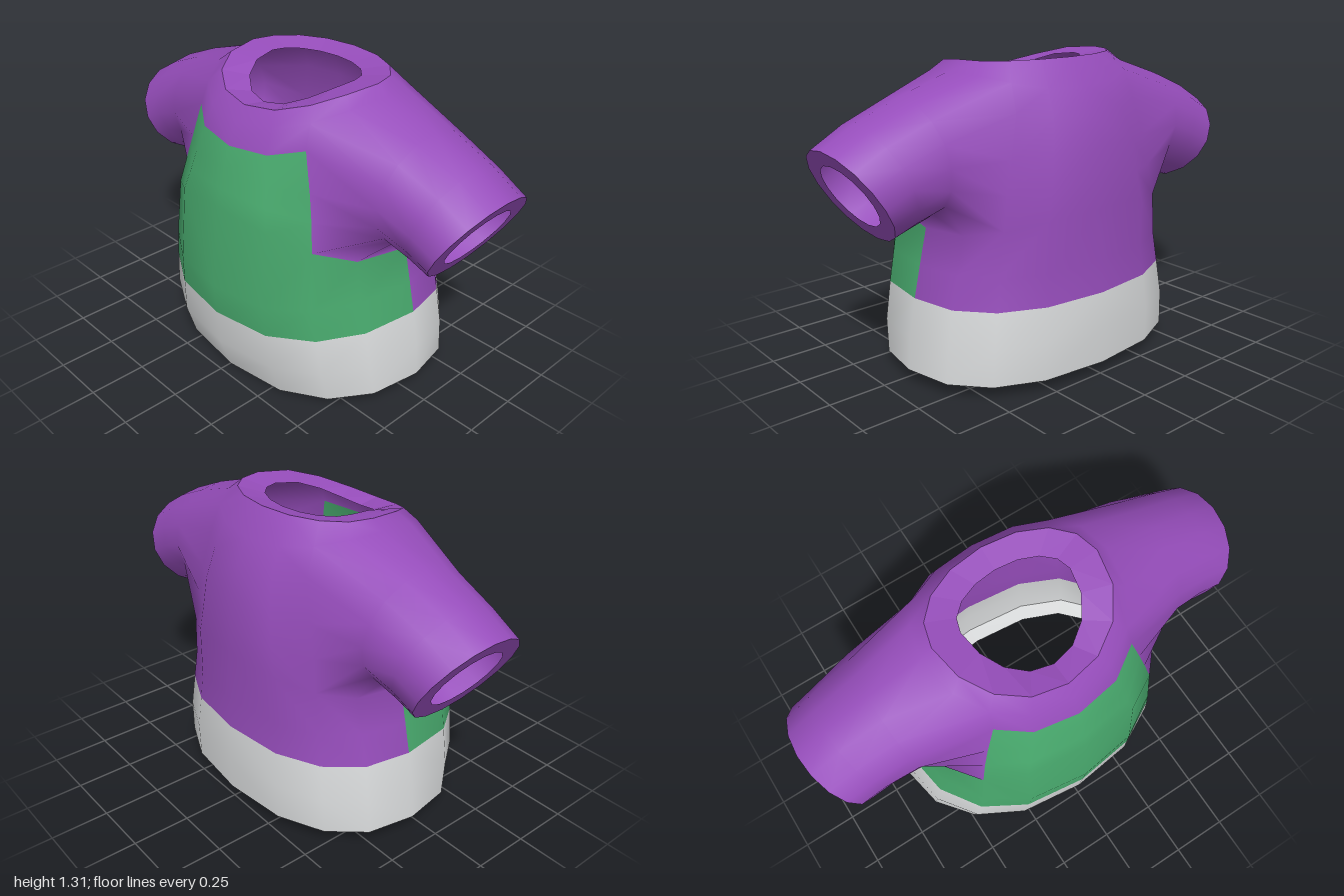
import * as THREE from 'three';
import { mergeVertices } from 'three/addons/utils/BufferGeometryUtils.js';

const COLS = 8;     // columns from front centre (0) to back centre (8) on one half
const Z0 = -0.05;   // depth of the side seam
const ARM = { row0: 4, row1: 8, col0: 2, col1: 6 };  // armhole in the body grid

// Body rows, hem to neck: half width, front z, back z,
// y at front, side, back, then roundness (1 is an ellipse, less is boxier)
const BODY = [
  [0.66, 0.445, 0.51, 0.00, 0.06, 0.055, 0.84],
  [0.65, 0.495, 0.515, 0.15, 0.20, 0.22, 0.84],
  [0.62, 0.505, 0.50, 0.31, 0.365, 0.365, 0.84],
  [0.59, 0.515, 0.49, 0.45, 0.50, 0.50, 0.84],
  [0.555, 0.475, 0.485, 0.81, 0.65, 0.72, 0.78],
  [0.53, 0.455, 0.478, 0.89, 0.80, 0.84, 0.84],
  [0.49, 0.43, 0.465, 0.97, 0.94, 0.97, 0.84],
  [0.43, 0.40, 0.43, 1.06, 1.16, 1.09, 0.84],
  [0.42, 0.36, 0.38, 1.15, 1.265, 1.20, 0.88],
  [0.37, 0.315, 0.30, 1.21, 1.305, 1.31, 0.95],
];
// Inner edges of the flat rims
const HEM_INNER = [0.59, 0.38, 0.44, 0.01, 0.045, 0.045, 0.84];
const NECK_INNER = [0.245, 0.215, 0.20, 1.195, 1.285, 1.285, 0.98];

// Sleeve rings: top x, top y, bottom x, bottom y, half depth
const SLEEVE = [
  [0.66, 1.19, 0.59, 0.72, 0.275],
  [0.86, 1.11, 0.69, 0.685, 0.255],
  [1.00, 1.03, 0.78, 0.655, 0.25],
];
const CUFF_INNER = [0.963, 0.967, 0.817, 0.718, 0.167];

function bodyRow([w, f, b, yf, ys, yb, e]) {
  const row = [];
  for (let j = 0; j <= COLS; j++) {
    const a = (j / COLS) * Math.PI;
    const c = j === COLS / 2 ? 0 : Math.cos(a);
    const s = j % COLS === 0 ? 0 : Math.sin(a);
    const depth = c > 0 ? f - Z0 : b + Z0;
    row.push(new THREE.Vector3(
      w * Math.pow(s, e),
      ys + ((c > 0 ? yf : yb) - ys) * c * c,
      Z0 + Math.sign(c) * Math.pow(Math.abs(c), e) * depth));
  }
  return row;
}

// Armhole edge: along the bottom, up the back, over the top, down the front
function armLoop(grid) {
  const { row0, row1, col0, col1 } = ARM, loop = [];
  for (let c = col0; c < col1; c++) loop.push(grid[row0][c]);
  for (let r = row0; r < row1; r++) loop.push(grid[r][col1]);
  for (let c = col1; c > col0; c--) loop.push(grid[row1][c]);
  for (let r = row1; r > row0; r--) loop.push(grid[r][col0]);
  return loop;
}

function sleeveRing([tx, ty, bx, by, rz]) {
  const ring = [];
  for (let i = 0; i < 16; i++) {
    const a = ((i - 2) / 16) * Math.PI * 2;
    const u = -Math.cos(a) / 2;
    ring.push(new THREE.Vector3(
      (tx + bx) / 2 + (tx - bx) * u,
      (ty + by) / 2 + (ty - by) * u,
      -0.055 - Math.sin(a) * rz));
  }
  return ring;
}

// Collects quads per colour, each mirrored to the other side
class Sheet {
  constructor(count) { this.parts = Array.from({ length: count }, () => []); }
  quad(m, a, b, c, d) {
    const put = (p, sx) => this.parts[m].push(p.x * sx, p.y, p.z);
    for (const [p, q, r] of [[a, b, c], [a, c, d]]) {
      [p, q, r].forEach(v => put(v, 1));
      [p, r, q].forEach(v => put(v, -1));
    }
  }
  band(m, r0, r1, closed) {
    const n = closed ? r0.length : r0.length - 1;
    for (let i = 0; i < n; i++) {
      const j = (i + 1) % r0.length;
      this.quad(m, r0[i], r0[j], r1[j], r1[i]);
    }
  }
  build(smooth) {
    let g = new THREE.BufferGeometry();
    g.setAttribute('position', new THREE.Float32BufferAttribute(this.parts.flat(), 3));
    let start = 0;
    this.parts.forEach((p, m) => {
      g.addGroup(start, p.length / 3, m);
      start += p.length / 3;
    });
    if (smooth) g = mergeVertices(g, 1e-4);
    g.computeVertexNormals();
    return g;
  }
}

const PURPLE = 0, GREEN = 1, GREY = 2;

// Grey hem band, green front panel, purple elsewhere
function cellColour(r, c) {
  if (r < 2) return GREY;
  if (r < 4) return c < 4 ? GREEN : PURPLE;
  return r < 7 && c < 2 ? GREEN : PURPLE;
}

export function createModel() {
  const mat = (name, color) => {
    const m = new THREE.MeshStandardMaterial({ color, side: THREE.DoubleSide });
    m.name = name;
    return m;
  };
  const materials = [mat('purple', 0x964dbb), mat('green', 0x48a96d), mat('lightGrey', 0xd8dadb)];

  const group = new THREE.Group();
  group.name = 'shirt';
  const add = (name, geometry, material) => {
    const mesh = new THREE.Mesh(geometry, material);
    mesh.name = name;
    group.add(mesh);
  };

  // Cloth: body and both sleeves in one smooth surface
  const grid = BODY.map(bodyRow);
  const rings = [armLoop(grid), ...SLEEVE.map(sleeveRing)];
  const cloth = new Sheet(3);
  for (let r = 0; r < grid.length - 1; r++) {
    for (let c = 0; c < COLS; c++) {
      const open = r >= ARM.row0 && r < ARM.row1 && c >= ARM.col0 && c < ARM.col1;
      if (open) continue;
      cloth.quad(cellColour(r, c), grid[r][c], grid[r][c + 1], grid[r + 1][c + 1], grid[r + 1][c]);
    }
  }
  for (let i = 0; i < rings.length - 1; i++) cloth.band(PURPLE, rings[i], rings[i + 1], true);
  add('bodyAndSleeves', cloth.build(true), materials);

  // Flat rims around the openings
  const rim = (name, from, to, colour, closed) => {
    const sheet = new Sheet(1);
    sheet.band(0, from, to, closed);
    add(name, sheet.build(false), materials[colour]);
  };
  rim('neckRim', grid[9], bodyRow(NECK_INNER), PURPLE, false);
  rim('hemRim', bodyRow(HEM_INNER), grid[0], GREY, false);
  rim('sleeveRims', rings[3], sleeveRing(CUFF_INNER), PURPLE, true);
  return group;
}
